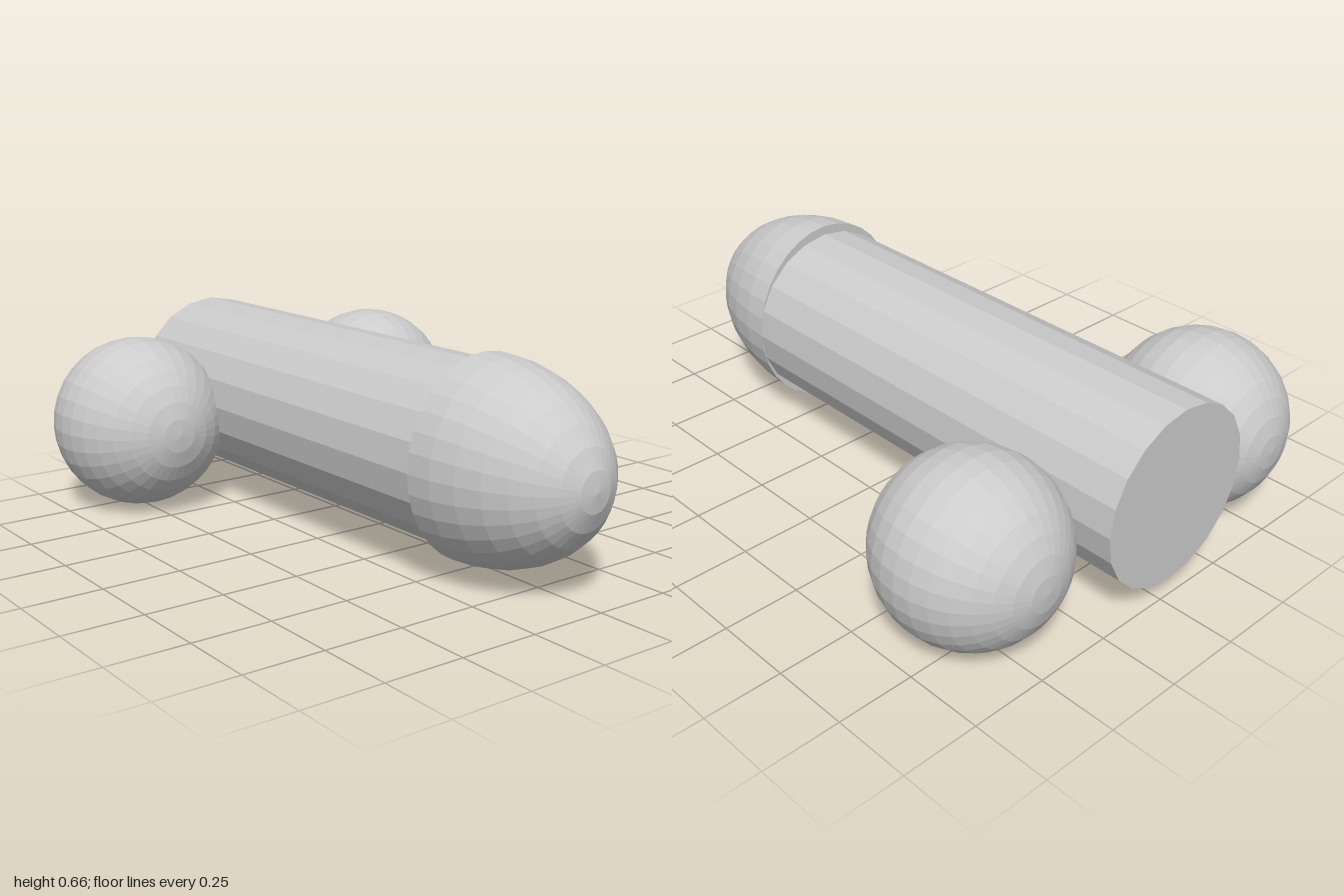
import * as THREE from 'three';

export function createModel() {
  const group = new THREE.Group();
  const material = new THREE.MeshStandardMaterial({ color: 0xcccccc, flatShading: true });

  const axisX = -0.03, axisY = 0.35; // shaft axis, slightly off centre
  const radius = 0.287;
  const joinZ = 0.54;

  function add(name, geometry, x, y, z, parent = group) {
    const mesh = new THREE.Mesh(geometry, material);
    mesh.name = name;
    mesh.position.set(x, y, z);
    parent.add(mesh);
    return mesh;
  }

  // Twenty-sided shaft lying along z
  const shaft = new THREE.CylinderGeometry(radius, radius, joinZ + 1, 20).rotateX(Math.PI / 2);
  add('shaft', shaft, axisX, axisY, (joinZ - 1) / 2);

  // Rounded nose: stretched half sphere, taller than the shaft, with a flat back
  const nose = new THREE.Group();
  nose.name = 'nose';
  nose.position.set(axisX, axisY, joinZ);
  nose.scale.set(radius, 0.317, 0.46);
  group.add(nose);
  const dome = new THREE.SphereGeometry(1, 32, 8, 0, Math.PI * 2, 0, Math.PI / 2).rotateX(Math.PI / 2);
  add('noseDome', dome, 0, 0, 0, nose);
  add('noseBack', new THREE.CircleGeometry(1, 32).rotateY(Math.PI), 0, 0, 0, nose);

  // Pair of balls at the rear, poles along z
  const ball = new THREE.SphereGeometry(0.287, 32, 16).rotateX(Math.PI / 2);
  for (const side of [-1, 1]) {
    add(side > 0 ? 'leftBall' : 'rightBall', ball, side * 0.493, 0.29, -0.713);
  }

  return group;
}
